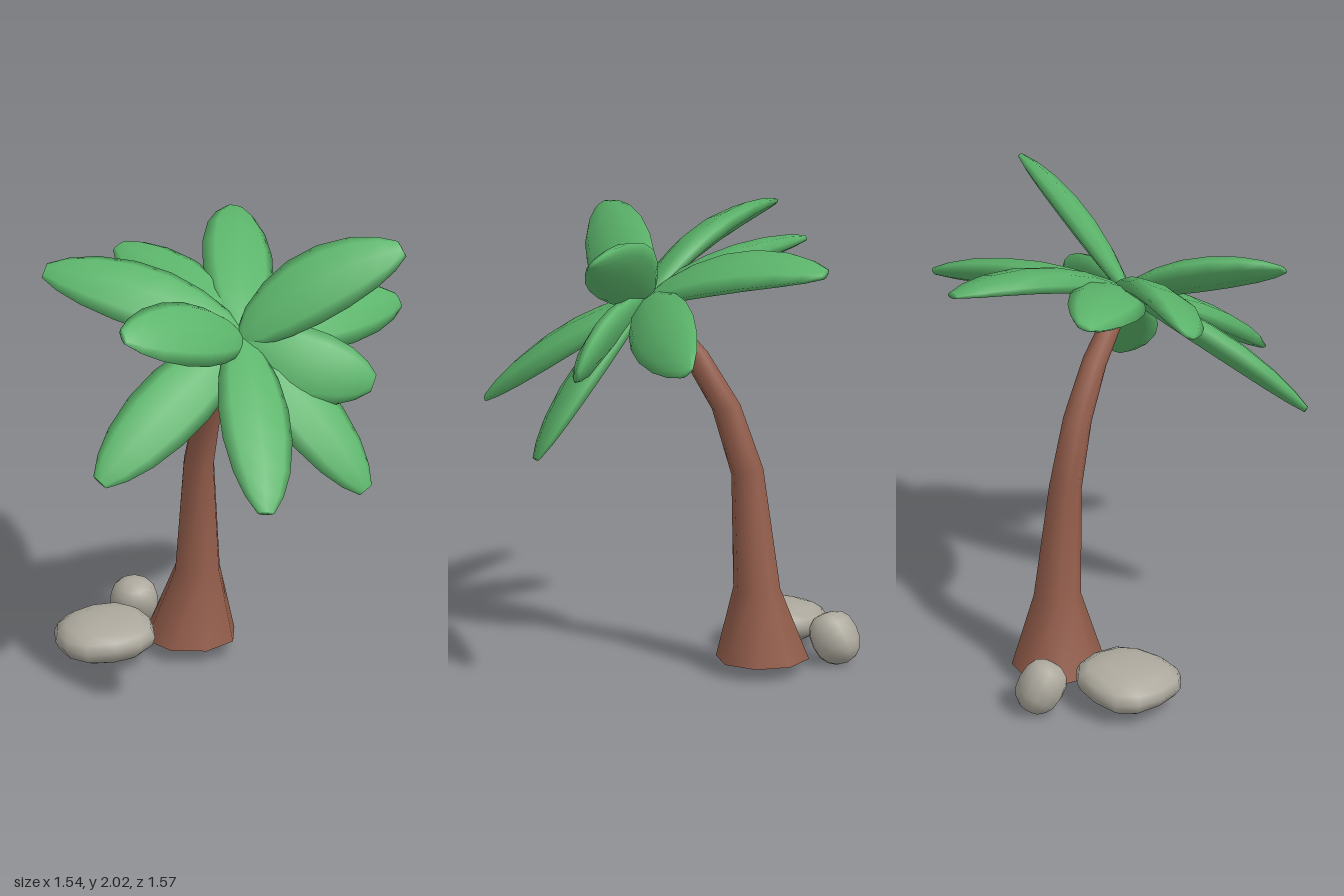
import * as THREE from 'three';
import { mergeVertices } from 'three/addons/utils/BufferGeometryUtils.js';

const green = new THREE.MeshStandardMaterial({ color: 0x5cb56b });
green.name = 'leafGreen';
const brown = new THREE.MeshStandardMaterial({ color: 0x935d4b, side: THREE.DoubleSide });
brown.name = 'barkBrown';
const grey = new THREE.MeshStandardMaterial({ color: 0xaca89d });
grey.name = 'stoneGrey';

const HUB = new THREE.Vector3(0.08, 1.61, 0.07);
const CROWN_AXIS = [0.3, 0.75, 0.6];

// Weld seams so the shading is smooth all round
function smooth(geometry) {
  geometry.deleteAttribute('uv');
  geometry.deleteAttribute('normal');
  const welded = mergeVertices(geometry, 1e-4);
  welded.computeVertexNormals();
  return welded;
}

// Tapered, bent, eight-sided trunk, open at the foot
function makeTrunk() {
  const rings = [ // x, y, z, radius, forward tilt
    [-0.15, 0.048, -0.368, 0.198, 0],
    [-0.12, 0.36, -0.358, 0.1, 0],
    [-0.113, 0.865, -0.316, 0.068, 0.25],
    [-0.07, 1.15, -0.237, 0.06, 0.25],
    [-0.01, 1.37, -0.125, 0.049, 0.5],
    [0.065, 1.59, 0.04, 0.036, 0.7],
  ];
  const sides = 8, positions = [], index = [];
  rings.forEach(([x, y, z, r, tilt], j) => {
    for (let i = 0; i < sides; i++) {
      const a = (i + 0.5) / sides * Math.PI * 2;
      const dz = Math.cos(a) * r;
      positions.push(x + Math.sin(a) * r, y - tilt * dz, z + dz);
      if (j === 0) continue;
      const k = (i + 1) % sides, lo = (j - 1) * sides, hi = j * sides;
      index.push(lo + i, lo + k, hi + k, lo + i, hi + k, hi + i);
    }
  });
  const geometry = new THREE.BufferGeometry();
  geometry.setAttribute('position', new THREE.Float32BufferAttribute(positions, 3));
  geometry.setIndex(index);
  geometry.computeVertexNormals();
  return new THREE.Mesh(geometry, brown);
}

// Flattened paddle leaf from the hub to a tip, its face turned towards an axis;
// arch lifts its middle off the straight line, sway pushes it sideways
function makeLeaf({ tip, arch = 0.03, sway = 0, facing = CROWN_AXIS }) {
  const direction = new THREE.Vector3(...tip).sub(HUB);
  const length = direction.length();
  direction.normalize();
  const profile = [[0, 0], [0.038, 0], [0.094, 0.1], [0.134, 0.25], [0.156, 0.42],
    [0.154, 0.6], [0.127, 0.78], [0.086, 0.91], [0.038, 1], [0, 1]];
  const geometry = new THREE.LatheGeometry(
    profile.map(([r, s]) => new THREE.Vector2(r, s)), 8);
  const p = geometry.attributes.position;
  for (let i = 0; i < p.count; i++) {
    const s = p.getY(i), bow = 4 * s * (1 - s);
    p.setXYZ(i, p.getX(i) + sway * bow, s * length, p.getZ(i) * 0.35 + arch * bow);
  }
  const normal = new THREE.Vector3(...facing).projectOnPlane(direction).normalize();
  const across = new THREE.Vector3().crossVectors(direction, normal);
  const leaf = new THREE.Mesh(smooth(geometry), green);
  leaf.quaternion.setFromRotationMatrix(
    new THREE.Matrix4().makeBasis(across, direction, normal));
  leaf.position.copy(HUB);
  return leaf;
}

// Rounded, slightly boxy and uneven stone
function makeStone(radii, position, rotation, phase) {
  const geometry = smooth(new THREE.SphereGeometry(1, 12, 8));
  const p = geometry.attributes.position;
  const swell = (c) => Math.sign(c) * Math.abs(c) ** 0.85;
  for (let i = 0; i < p.count; i++) {
    const x = p.getX(i), y = p.getY(i), z = p.getZ(i);
    const k = 1 + 0.05 * Math.sin(3 * x + phase) * Math.cos(3 * z + 2 * y + phase);
    p.setXYZ(i, swell(x) * k * radii[0], swell(y) * k * radii[1], swell(z) * k * radii[2]);
  }
  geometry.computeVertexNormals();
  const stone = new THREE.Mesh(geometry, grey);
  stone.position.set(...position);
  stone.rotation.set(...rotation);
  return stone;
}

export function createModel() {
  const model = new THREE.Group();
  model.name = 'palmTree';

  const trunk = makeTrunk();
  trunk.name = 'trunk';
  model.add(trunk);

  const crown = new THREE.Group();
  crown.name = 'crown';
  const leaves = [
    { tip: [0.025, 1.835, -0.78], arch: 0.06, sway: -0.02 },
    { tip: [0.72, 1.54, -0.51] },
    { tip: [0.755, 1.968, -0.08], sway: -0.035 },
    { tip: [0.64, 1.415, 0.078], sway: 0.02, facing: [0.2, 0.42, 0.9] },
    { tip: [0.615, 1.015, 0.29] },
    { tip: [0.21, 1.115, 0.77] },
    { tip: [-0.4, 1.83, 0.57] },
    { tip: [-0.495, 1.185, 0.63], sway: 0.01 },
    { tip: [-0.755, 1.85, -0.065], arch: 0.065 },
    { tip: [-0.45, 1.82, -0.4] },
  ];
  leaves.forEach((spec, i) => {
    const leaf = makeLeaf(spec);
    leaf.name = `leaf${i + 1}`;
    crown.add(leaf);
  });
  model.add(crown);

  const largeStone = makeStone([0.218, 0.086, 0.21], [-0.51, 0.104, -0.225], [0, 0.3, 0.06], 0.6);
  largeStone.name = 'largeStone';
  const smallStone = makeStone([0.1, 0.115, 0.095], [-0.395, 0.105, -0.577], [0.55, 0, 0], 2);
  smallStone.name = 'smallStone';
  model.add(largeStone, smallStone);

  return model;
}
